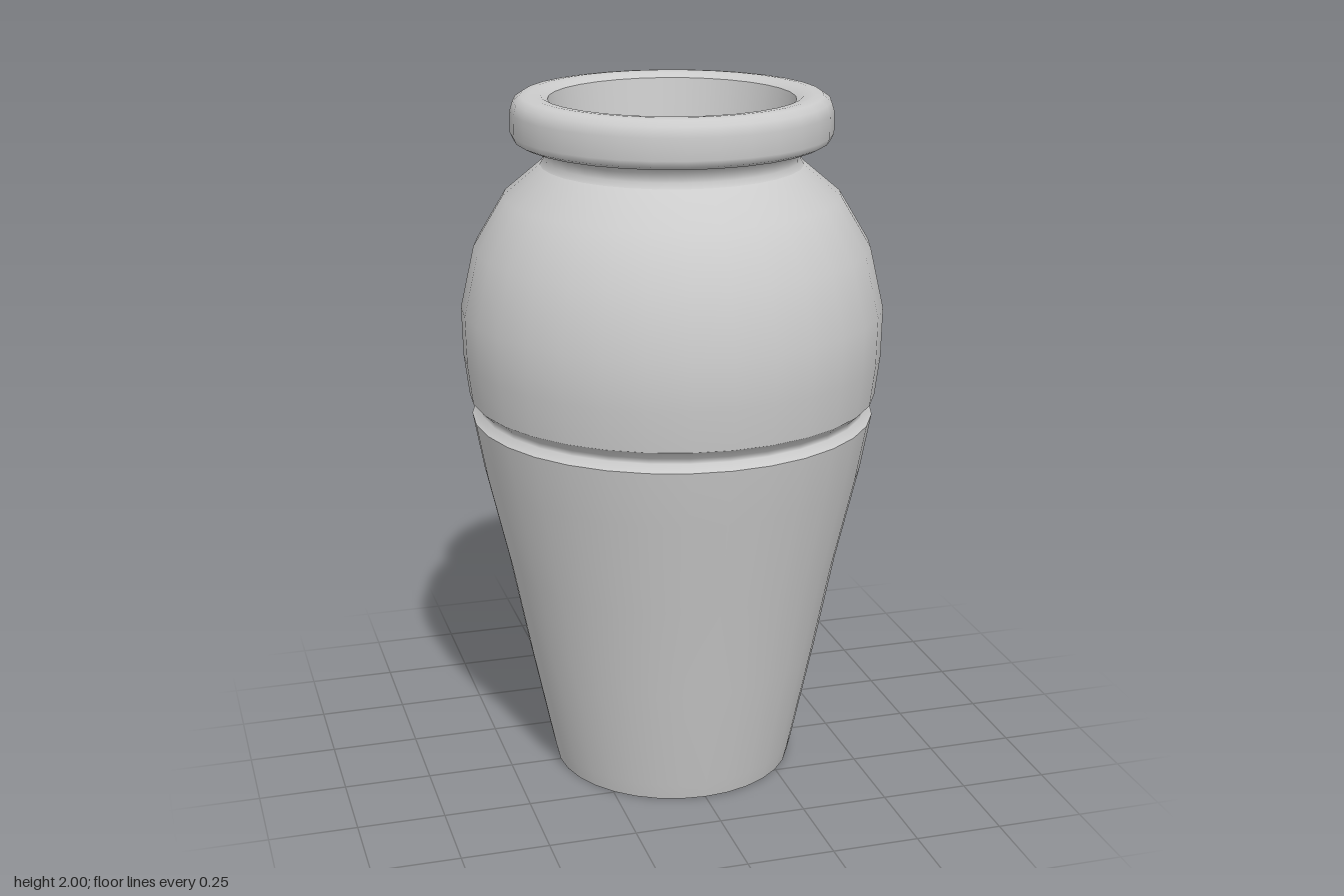
import * as THREE from 'three';

export function createModel() {
  const group = new THREE.Group();
  const material = new THREE.MeshStandardMaterial({ color: 0xcccccc });

  // Each profile runs [radius, height]; separate profiles meet at sharp edges.
  const turn = (name, profile) => {
    const points = profile.map(([r, y]) => new THREE.Vector2(r, y));
    const mesh = new THREE.Mesh(new THREE.LatheGeometry(points, 32), material);
    mesh.name = name;
    group.add(mesh);
  };

  // Slightly hollowed underside
  turn('base', [[0, 0.03], [0.18, 0.022], [0.35, 0]]);

  // Tapering lower body
  turn('lowerBody', [
    [0.35, 0], [0.362, 0.05], [0.427, 0.36], [0.482, 0.64],
    [0.547, 0.92], [0.577, 1.085],
  ]);

  // Groove around the waist
  turn('groove', [[0.577, 1.085], [0.556, 1.105], [0.556, 1.12], [0.583, 1.145]]);

  // Rounded shoulder
  turn('shoulder', [
    [0.583, 1.145], [0.597, 1.26], [0.6, 1.4], [0.56, 1.575],
    [0.475, 1.717], [0.37, 1.805],
  ]);

  // Short neck flaring out under the lip
  turn('neck', [[0.37, 1.805], [0.36, 1.82], [0.361, 1.845], [0.385, 1.862], [0.425, 1.868]]);

  // Thick rolled lip
  turn('lip', [
    [0.425, 1.868], [0.442, 1.877], [0.45, 1.895], [0.45, 1.955], [0.441, 1.983],
    [0.42, 1.997], [0.395, 2], [0.365, 1.997], [0.345, 1.985],
  ]);

  // Inside of the mouth and the shallow bowl that closes it
  turn('mouthWall', [[0.345, 1.985], [0.32, 1.82]]);
  turn('mouthFloor', [[0.32, 1.82], [0.24, 1.787], [0.13, 1.762], [0, 1.75]]);

  return group;
}
